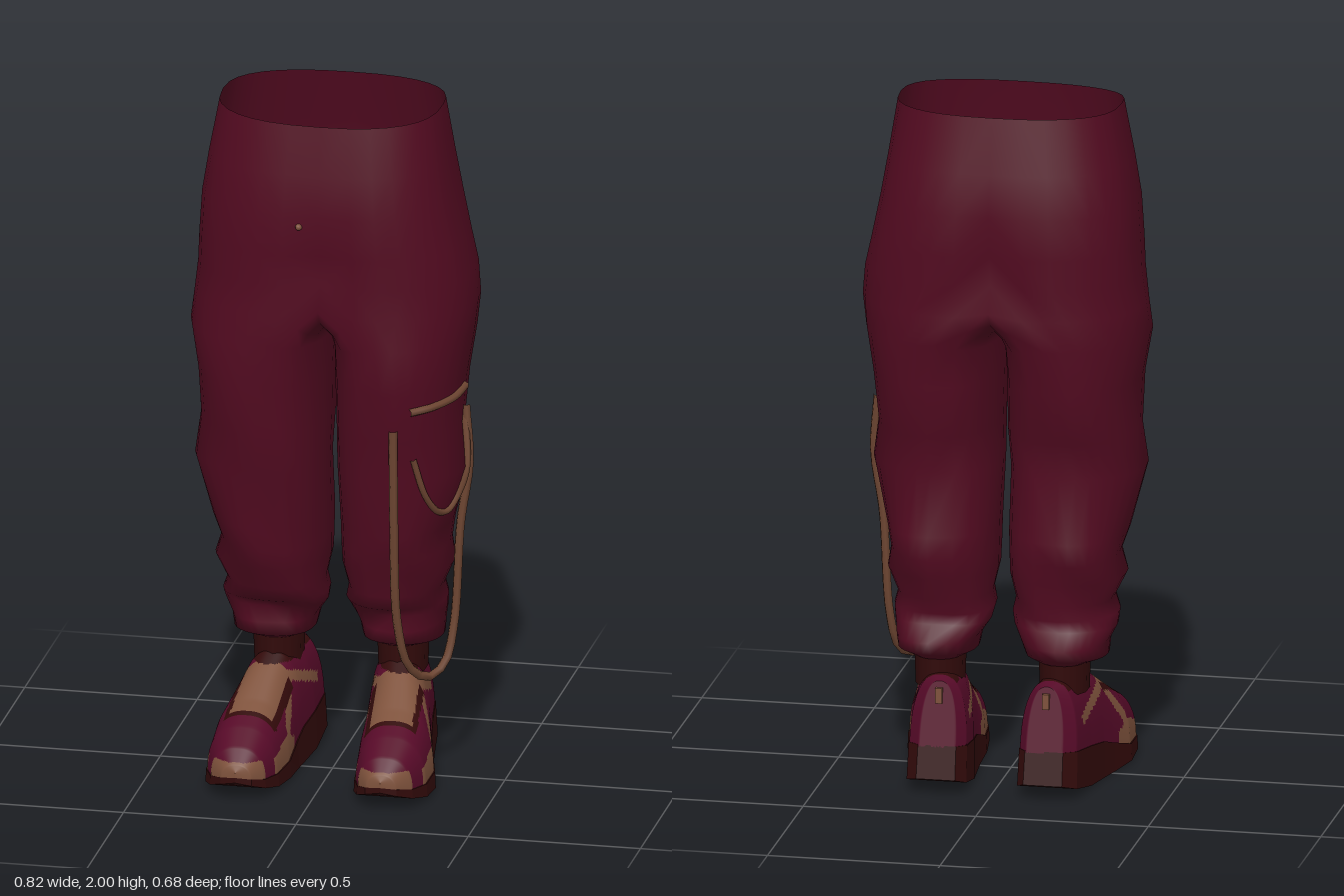
import * as THREE from 'three';
import { mergeVertices } from 'three/addons/utils/BufferGeometryUtils.js';

const mat = (name, color, side = THREE.FrontSide) => {
  const m = new THREE.MeshStandardMaterial({ color, side });
  m.name = name;
  return m;
};
const lerpRow = (a, b, f) => a.map((v, i) => THREE.MathUtils.lerp(v, b[i], f));
const pow = (v, p) => Math.sign(v) * Math.pow(Math.abs(v), p);

// Trouser rings: y, outer x (left), outer x (right), front z, back z
const RINGS = [
  [2.00, 0.31, 0.33, 0.17, -0.27],
  [1.84, 0.335, 0.36, 0.20, -0.31],
  [1.72, 0.355, 0.38, 0.218, -0.34],
  [1.60, 0.38, 0.388, 0.218, -0.34],
  [1.51, 0.40, 0.392, 0.215, -0.34],
  [1.42, 0.41, 0.405, 0.21, -0.335],
  [1.33, 0.40, 0.415, 0.21, -0.325],
  [1.20, 0.38, 0.39, 0.21, -0.305],
  [1.05, 0.365, 0.385, 0.185, -0.29],
  [0.93, 0.385, 0.40, 0.165, -0.235],
  [0.75, 0.335, 0.355, 0.14, -0.285],
  [0.68, 0.325, 0.33, 0.125, -0.275],
  [0.62, 0.335, 0.35, 0.105, -0.26],
  [0.55, 0.305, 0.315, 0.075, -0.235],
  [0.51, 0.315, 0.33, 0.065, -0.235],
  [0.475, 0.31, 0.33, 0.01, -0.225],
  [0.435, 0.30, 0.31, 0.04, -0.285],
  [0.39, 0.30, 0.305, 0.015, -0.24],
  [0.37, 0.25, 0.25, -0.03, -0.21],
];
const CROTCH = 4, OUTER = 16, AROUND = 26;

// Inside-leg line, with a rolled cuff and a hem drawn in to the ankle
function innerX(y) {
  if (y < 0.38) return 0.11;
  const roll = y < 0.53 && y > 0.45 ? 0.018 : 0;
  return 0.006 + 0.018 * (1.42 - y) + 0.2 * Math.max(0, 0.62 - y) - roll;
}

// Point on one half of the trousers; t runs from front seam round the outside, then the inside
function legPoint(side, [y, xl, xr, zf, zb], t, grow = 0) {
  const s = Math.sin(t), c = Math.cos(t), xo = side > 0 ? xl : xr;
  const outer = t <= Math.PI + 1e-6, torso = y > 1.5;
  const seam = torso ? 0 : Math.min(0.185, 0.1 + (1.42 - y) * 0.7);
  const inner = torso ? 0 : innerX(y);
  const sag = Math.max(0, y - 1.3) * 0.8;
  const dent = torso ? 0.2 * (2 - y) ** 2 : 0;
  const fold = y < 1.25 && y > 0.4 ? 0.008 * Math.sin(3 * t + y * 17 * side) : 0;
  const x = outer ? seam + (xo - seam + grow) * Math.pow(Math.max(s, 0), torso ? 0.82 : 0.95)
    : seam + (seam - inner) * pow(s, 0.75);
  const z = (zf + zb) / 2 + ((zf - zb) / 2 + grow + fold) * pow(c, torso ? 0.75 : 0.9)
    - dent * pow(c, 119);
  const dip = y > 1.95 ? 0.018 * Math.max(0, c) : 0;
  return new THREE.Vector3(side * x, y - (outer ? dip : sag * Math.pow(Math.abs(s), 0.7)), z);
}

function ringAt(y) {
  let i = 0;
  while (i < RINGS.length - 2 && RINGS[i + 1][0] > y) i++;
  return lerpRow(RINGS[i], RINGS[i + 1], (RINGS[i][0] - y) / (RINGS[i][0] - RINGS[i + 1][0]));
}

const angle = i => i <= OUTER ? Math.PI * i / OUTER
  : Math.PI * (1 + (i - OUTER) / (AROUND - OUTER));

function trousersGeometry() {
  const pos = [], index = [];
  for (const side of [1, -1]) {
    const base = pos.length / 3;
    for (const r of RINGS)
      for (let i = 0; i < AROUND; i++) pos.push(...legPoint(side, r, angle(i)).toArray());
    for (let j = 0; j < RINGS.length - 1; j++)
      for (let i = 0; i < (j < CROTCH ? OUTER : AROUND); i++) {
        const a = base + j * AROUND + i, b = base + j * AROUND + (i + 1) % AROUND;
        const c = a + AROUND, d = b + AROUND;
        if (side > 0) index.push(a, c, b, b, c, d);
        else index.push(a, b, c, b, d, c);
      }
  }
  const g = new THREE.BufferGeometry();
  g.setAttribute('position', new THREE.Float32BufferAttribute(pos, 3));
  g.setIndex(index);
  const merged = mergeVertices(g, 1e-4);
  merged.computeVertexNormals();
  return merged;
}

// Shoe sections: z, centre x, half width, sole bottom, sole top, upper top
const SECTIONS = [
  [-0.325, 0.155, 0.055, 0.045, 0.14, 0.325],
  [-0.28, 0.16, 0.085, 0.03, 0.135, 0.335],
  [-0.15, 0.17, 0.092, 0.005, 0.12, 0.335],
  [-0.04, 0.185, 0.095, 0, 0.105, 0.33],
  [0.02, 0.195, 0.10, 0, 0.085, 0.295],
  [0.12, 0.21, 0.113, 0.005, 0.055, 0.235],
  [0.22, 0.215, 0.105, 0.012, 0.05, 0.19],
  [0.29, 0.213, 0.08, 0.028, 0.055, 0.15],
  [0.33, 0.21, 0.045, 0.045, 0.065, 0.11],
  [0.34, 0.21, 0, 0.055, 0.07, 0.09],
];
// Close the heel with a section of no width
SECTIONS.unshift(SECTIONS[0].map((v, i) => i === 2 ? 0 : v));

// The heel leans forward with height
const lean = z => Math.max(0, -z - 0.04) * 0.8;

// Skin of cross-sections, sorted into one material group per colour
function skin(loops, side, closed, pick) {
  const n = loops[0].length, lists = [[], [], []];
  for (let j = 0; j < loops.length - 1; j++)
    for (let i = 0; i < (closed ? n : n - 1); i++) {
      const k = (i + 1) % n, a = j * n + i, b = j * n + k, c = a + n, d = b + n;
      const mid = loops[j][i].clone().add(loops[j + 1][k]).multiplyScalar(0.5);
      lists[pick(mid)].push(...(side > 0 ? [a, b, c, b, d, c] : [a, c, b, b, c, d]));
    }
  const g = new THREE.BufferGeometry().setFromPoints(loops.flat());
  g.setIndex(lists.flat());
  let start = 0;
  lists.forEach((l, m) => {
    if (l.length) g.addGroup(start, l.length, m);
    start += l.length;
  });
  g.computeVertexNormals();
  return g;
}

// Panel layout of the upper: 0 cloth, 1 trim, 2 dark lining
function upperColour({ x, y, z }) {
  const dx = Math.abs(Math.abs(x) - 0.19 - z * 0.08);
  if (z > -0.22 && z < 0.01 && y > 0.3 && dx < 0.06) return 2;
  if (z > 0 && z < 0.18 && dx < 0.076 && y > 0.16) return dx < 0.062 && z < 0.165 ? 1 : 2;
  if (z > -0.19 && z < 0.01 && Math.abs(y - 0.27 - z * 0.33) < 0.016) return 1;
  if (z > -0.01 && z < 0.11 && Math.abs(y - 0.27 + z * 1.3) < 0.026) return 1;
  if (z > 0.05 && z < 0.23 && y < 0.13 - Math.abs(z - 0.12) * 0.3) return 1;
  return z > 0.285 && y < 0.11 ? 1 : 0;
}

function upperGeometry(side) {
  const loops = [], STEPS = 12, N = 64;
  for (let j = 0; j <= (SECTIONS.length - 1) * STEPS; j++) {
    const i = Math.min(Math.floor(j / STEPS), SECTIONS.length - 2);
    const [z, cx, w, , st, top] = lerpRow(SECTIONS[i], SECTIONS[i + 1], j / STEPS - i);
    loops.push(Array.from({ length: N + 1 }, (_, k) => {
      const u = Math.PI * k / N;
      const y = st - 0.005 + (top - st) * Math.pow(Math.max(Math.sin(u), 0), 0.85);
      return new THREE.Vector3(side * (cx + w * 0.97 * pow(Math.cos(u), 0.8)), y, z + lean(z) * y);
    }));
  }
  return skin(loops, side, false, upperColour);
}

function soleGeometry(side) {
  const loops = SECTIONS.map(([z, cx, w, bottom, top]) =>
    [[1.02, bottom], [1, top], [-1, top], [-1.02, bottom]].map(([k, y]) =>
      new THREE.Vector3(side * (cx + w * k), y, z + lean(z) * y)));
  const g = skin(loops, side, true, () => 0).toNonIndexed();
  g.clearGroups();
  g.computeVertexNormals();
  return g;
}

export function createModel() {
  const cloth = mat('burgundy cloth', 0x520a20, THREE.DoubleSide);
  const shoeCloth = mat('shoe burgundy', 0x560a28);
  const trim = mat('tan trim', 0x7e523c);
  const dark = mat('dark brown', 0x320a0a);
  const strapMat = mat('strap brown', 0x6e4632);
  const model = new THREE.Group();
  model.name = 'trousersAndShoes';
  const add = (name, geo, material, parent = model) => {
    const m = new THREE.Mesh(geo, material);
    m.name = name;
    parent.add(m);
    return m;
  };
  const tube = (name, pts, r) => add(name,
    new THREE.TubeGeometry(new THREE.CatmullRomCurve3(pts), 40, r, 6), strapMat);

  add('trousers', trousersGeometry(), cloth);

  // Shoes with ankles
  for (const side of [1, -1]) {
    const shoe = new THREE.Group();
    shoe.name = side > 0 ? 'leftShoe' : 'rightShoe';
    model.add(shoe);
    add('upper', upperGeometry(side), [shoeCloth, trim, dark], shoe);
    add('sole', soleGeometry(side), dark, shoe);
    const ankle = add('ankle', new THREE.CylinderGeometry(0.074, 0.07, 0.12, 10), dark, shoe);
    ankle.scale.z = 1.25;
    ankle.position.set(side * 0.18, 0.34, -0.12);
    const tab = add('heelTab', new THREE.BoxGeometry(0.02, 0.045, 0.012), trim, shoe);
    tab.position.set(side * 0.155, 0.28, -0.265);
  }

  // Hanging strap, pocket edge and pocket cord on the left leg
  tube('hangingStrap', [
    [0.215, 1.09, 0.185], [0.215, 0.8, 0.175], [0.22, 0.5, 0.15], [0.245, 0.36, 0.11],
    [0.29, 0.312, 0.05], [0.325, 0.34, 0], [0.345, 0.45, -0.035], [0.362, 0.75, -0.045],
    [0.386, 0.93, -0.052], [0.374, 1.1, -0.06],
  ].map(p => new THREE.Vector3(...p)), 0.013);
  const onLeg = pts => pts.map(([y, t]) => legPoint(1, ringAt(y), t, 0.003));
  tube('pocketEdge', onLeg([[1.15, 0.4], [1.155, 0.75], [1.16, 1.15], [1.17, 1.5]]), 0.012);
  tube('pocketCord', onLeg([[1.0, 0.42], [0.88, 0.6], [0.82, 0.9], [0.81, 1.15],
    [0.84, 1.35], [0.92, 1.5], [1.08, 1.6]]), 0.01);

  // Waist button
  const button = add('button', new THREE.SphereGeometry(0.01, 8, 6), trim);
  button.position.set(-0.055, 1.69, 0.205);
  return model;
}
